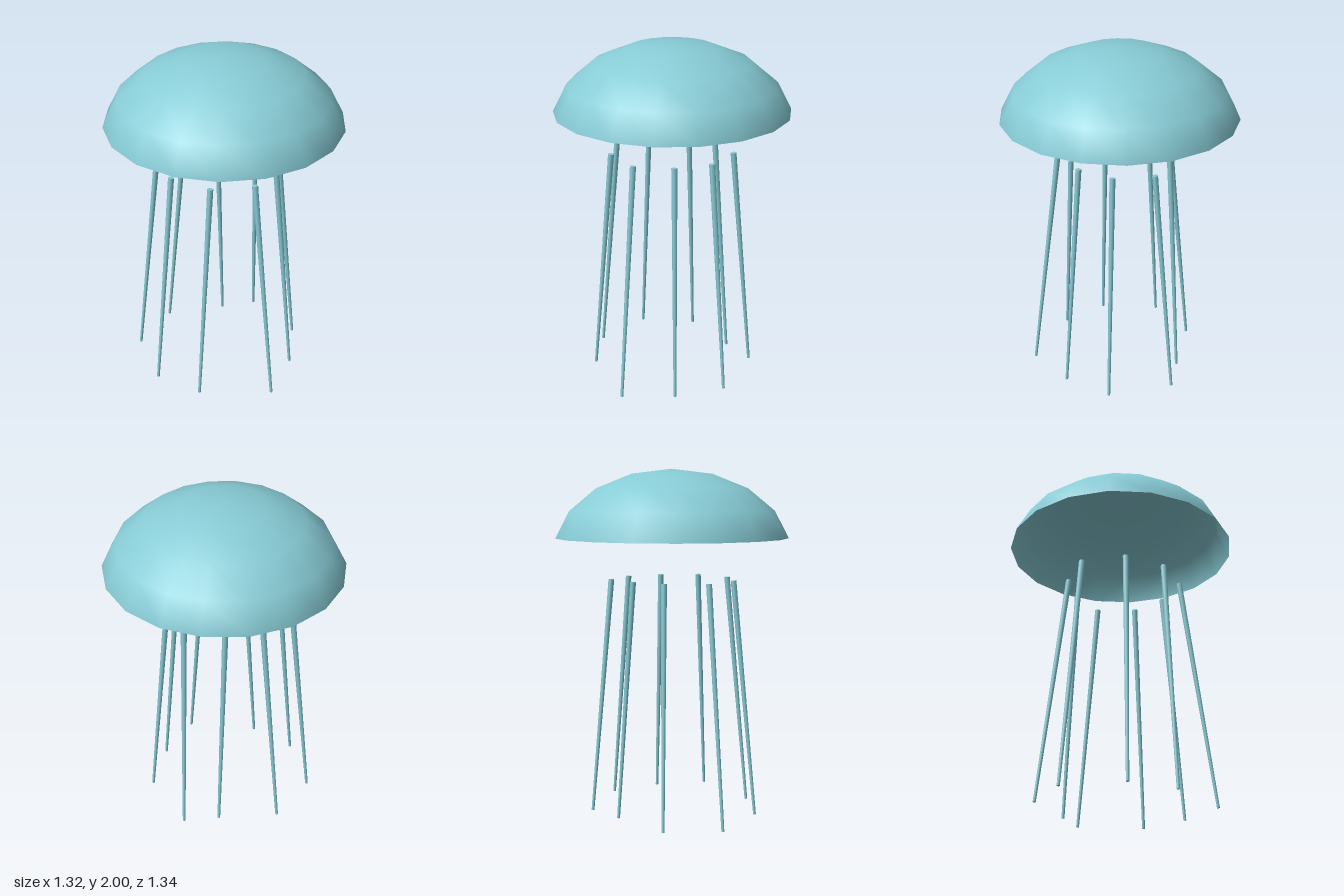
import * as THREE from 'three';

export function createModel() {
  const model = new THREE.Group();
  model.name = 'jellyfish';
  const aqua = new THREE.MeshStandardMaterial({ color: 0x88ccd6, side: THREE.DoubleSide });
  aqua.name = 'aqua';

  // Bell: a thin open cap of a flattened sphere, corners on the z axis
  const cap = new THREE.SphereGeometry(0.682, 18, 4, 0, Math.PI * 2, 0, Math.PI * 4 / 9);
  cap.rotateY(Math.PI / 2);
  cap.scale(1, 0.473 / 0.682, 1);
  const bell = new THREE.Mesh(cap, aqua);
  bell.name = 'bell';
  bell.position.y = 2 - 0.473;
  model.add(bell);

  // Tentacles: [top x, top z, bottom x, bottom z], a ring of nine spreading downwards
  const ring = [
    [0.31, 0, 0.44, 0],
    [0.27, 0.225, 0.43, 0.31],
    [0.06, 0.35, 0.03, 0.475],
    [-0.185, 0.32, -0.26, 0.44],
    [-0.36, 0.13, -0.505, 0.18],
    [-0.30, -0.11, -0.455, -0.15],
    [-0.148, -0.255, -0.155, -0.35],
    [0.06, -0.345, 0.02, -0.475],
    [0.25, -0.21, 0.36, -0.29],
  ];
  const up = new THREE.Vector3(0, 1, 0);
  for (const [tx, tz, bx, bz] of ring) {
    const top = new THREE.Vector3(tx, 1.37, tz);
    const bottom = new THREE.Vector3(bx, 0.001, bz);
    const axis = top.clone().sub(bottom);
    const tentacle = new THREE.Mesh(new THREE.CylinderGeometry(0.017, 0.0085, axis.length(), 6), aqua);
    tentacle.name = 'tentacle';
    tentacle.position.copy(top).add(bottom).multiplyScalar(0.5);
    tentacle.quaternion.setFromUnitVectors(up, axis.normalize());
    model.add(tentacle);
  }
  return model;
}
